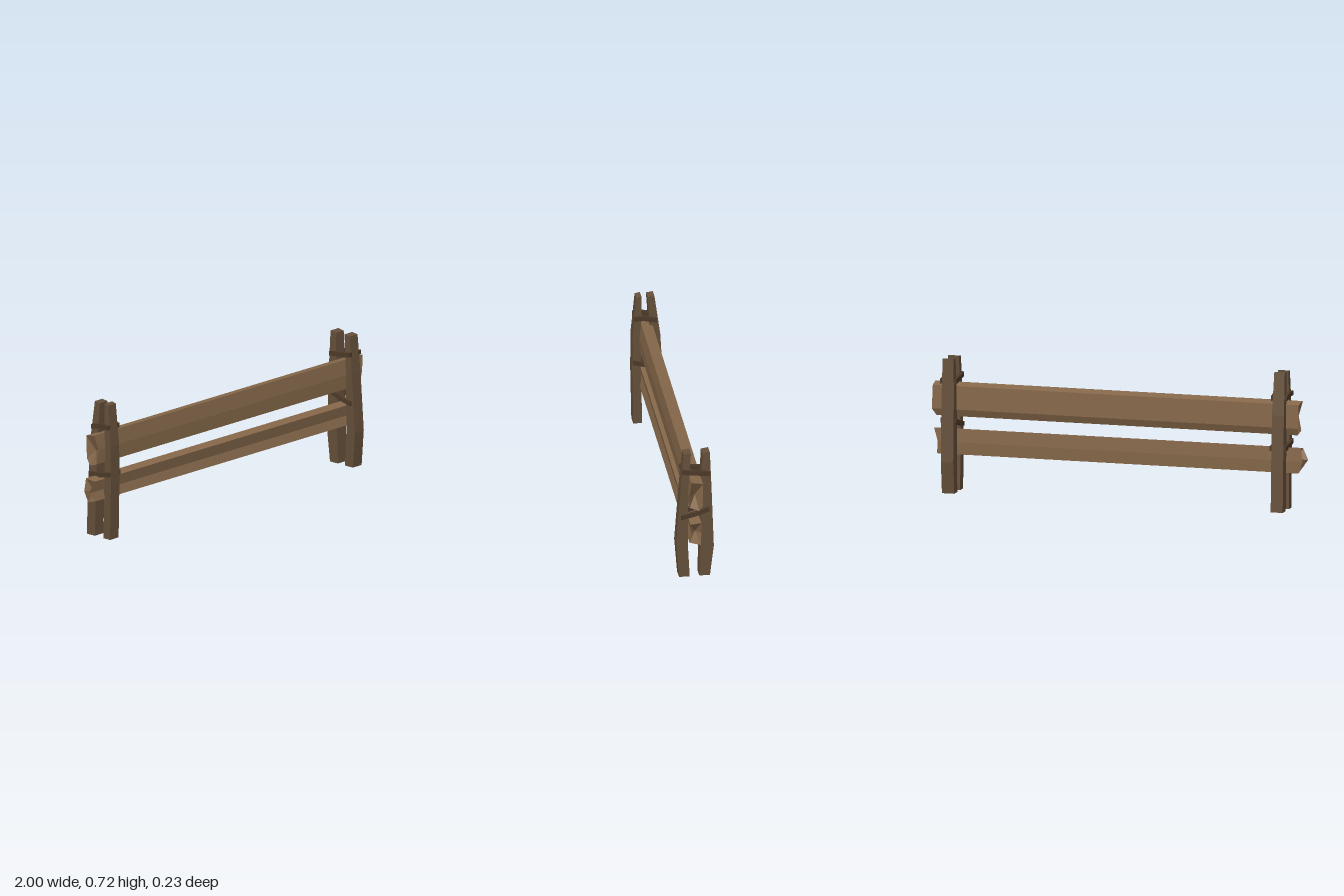
import * as THREE from 'three';

const material = (color) => new THREE.MeshStandardMaterial({ color, flatShading: true });
const railWood = material(0x86684a);
const postWood = material(0x654f3a);
const strapWood = material(0x4c3a2a);

// Skins rings of [x, y, z] points (counter-clockwise seen from the far end);
// the caps fan to the centre of each end, moved by an optional offset.
function loft(name, rings, mat, startPush = [0, 0, 0], endPush = [0, 0, 0]) {
  const pos = [];
  const n = rings[0].length;
  const centre = (ring, push) =>
    push.map((p, k) => p + ring.reduce((sum, v) => sum + v[k], 0) / n);
  const first = rings[0], last = rings[rings.length - 1];
  const c0 = centre(first, startPush), c1 = centre(last, endPush);
  for (let i = 0; i < n; i++) {
    const j = (i + 1) % n;
    for (let r = 0; r < rings.length - 1; r++) {
      const a = rings[r], b = rings[r + 1];
      pos.push(...a[i], ...a[j], ...b[j], ...a[i], ...b[j], ...b[i]);
    }
    pos.push(...c0, ...first[j], ...first[i], ...c1, ...last[i], ...last[j]);
  }
  const geometry = new THREE.BufferGeometry();
  geometry.setAttribute('position', new THREE.Float32BufferAttribute(pos, 3));
  geometry.computeVertexNormals();
  const mesh = new THREE.Mesh(geometry, mat);
  mesh.name = name;
  return mesh;
}

// Hewn post: levels are [y, back z, front z], with a slightly slanted top.
function post(name, x, width, levels) {
  const rings = levels.map(([y, zb, zf], i) => {
    const w = width / 2 - (i === levels.length - 1 ? 0.004 : 0);
    const slant = i === levels.length - 1 ? 0.005 : 0;
    return [[x + w, y - slant, zf], [x + w, y, zb], [x - w, y, zb], [x - w, y - slant, zf]];
  });
  return loft(name, rings, postWood);
}

// Split rail: section is [z, y] pairs; each corner has its own end x for a broken look.
function rail(name, section, leftX, rightX, push) {
  const skew = (x) => 0.02 * (x - 1);
  const ring = (xs) => section.map(([z, y], i) => [xs[i], y, z + skew(xs[i])]);
  return loft(name, [ring(leftX), ring(rightX)], railWood, [push[0], 0, 0], [push[1], 0, 0]);
}

// Thin binding strip along the side of a post pair: path is [z, y], back to front.
function strap(name, x, path) {
  const rings = path.map(([z, y]) => {
    const w = 0.009, h = 0.012;
    return [[x + w, y - h, z], [x + w, y + h, z], [x - w, y + h, z], [x - w, y - h, z]];
  });
  return loft(name, rings, strapWood);
}

export function createModel() {
  const model = new THREE.Group();

  // Post pairs clamp the rails at both ends
  model.add(
    post('leftFrontPost', 0.9, 0.066,
      [[0, 0.045, 0.1], [0.19, 0.055, 0.115], [0.5, 0.052, 0.092], [0.7, 0.038, 0.075]]),
    post('leftBackPost', 0.9, 0.066,
      [[0, -0.06, -0.005], [0.165, -0.08, -0.01], [0.5, -0.068, -0.014], [0.7, -0.06, -0.022]]),
    post('rightFrontPost', -0.865, 0.064,
      [[0, 0.004, 0.05], [0.3, 0.01, 0.056], [0.5, 0.01, 0.054], [0.72, 0.007, 0.034]]),
    post('rightBackPost', -0.865, 0.064,
      [[0, -0.113, -0.057], [0.2, -0.106, -0.05], [0.5, -0.09, -0.04], [0.72, -0.06, -0.025]])
  );

  // Rails with splintered ends
  model.add(
    rail('upperRail',
      [[0.046, 0.565], [0.055, 0.485], [0.052, 0.41], [0.003, 0.393], [-0.014, 0.43], [-0.014, 0.553]],
      [-0.97, -0.945, -0.96, -0.955, -0.96, -0.965],
      [0.998, 0.985, 0.97, 0.98, 1, 0.995], [0.03, -0.045]),
    rail('lowerRail',
      [[0.05, 0.32], [0.04, 0.262], [0.054, 0.215], [-0.005, 0.196], [-0.009, 0.26], [-0.006, 0.328]],
      [-0.97, -1, -0.965, -0.96, -0.985, -0.975],
      [0.985, 0.96, 0.98, 0.975, 0.97, 0.99], [0.03, -0.035])
  );

  // Straps on the inner and outer sides of each post pair
  const ends = [
    ['left', 0.9, [[-0.058, 0.582], [0.035, 0.592], [0.085, 0.6]], [[-0.055, 0.38], [0.02, 0.355], [0.09, 0.34]]],
    ['right', -0.865, [[-0.072, 0.585], [0, 0.6], [0.045, 0.598]], [[-0.092, 0.328], [0, 0.338], [0.052, 0.35]]],
  ];
  for (const [end, x, high, low] of ends) {
    for (const side of [-1, 1]) {
      const label = end + (side * x > 0 ? 'Outer' : 'Inner');
      model.add(
        strap(label + 'UpperStrap', x + side * 0.034, high),
        strap(label + 'LowerStrap', x + side * 0.034, low)
      );
    }
  }
  return model;
}
